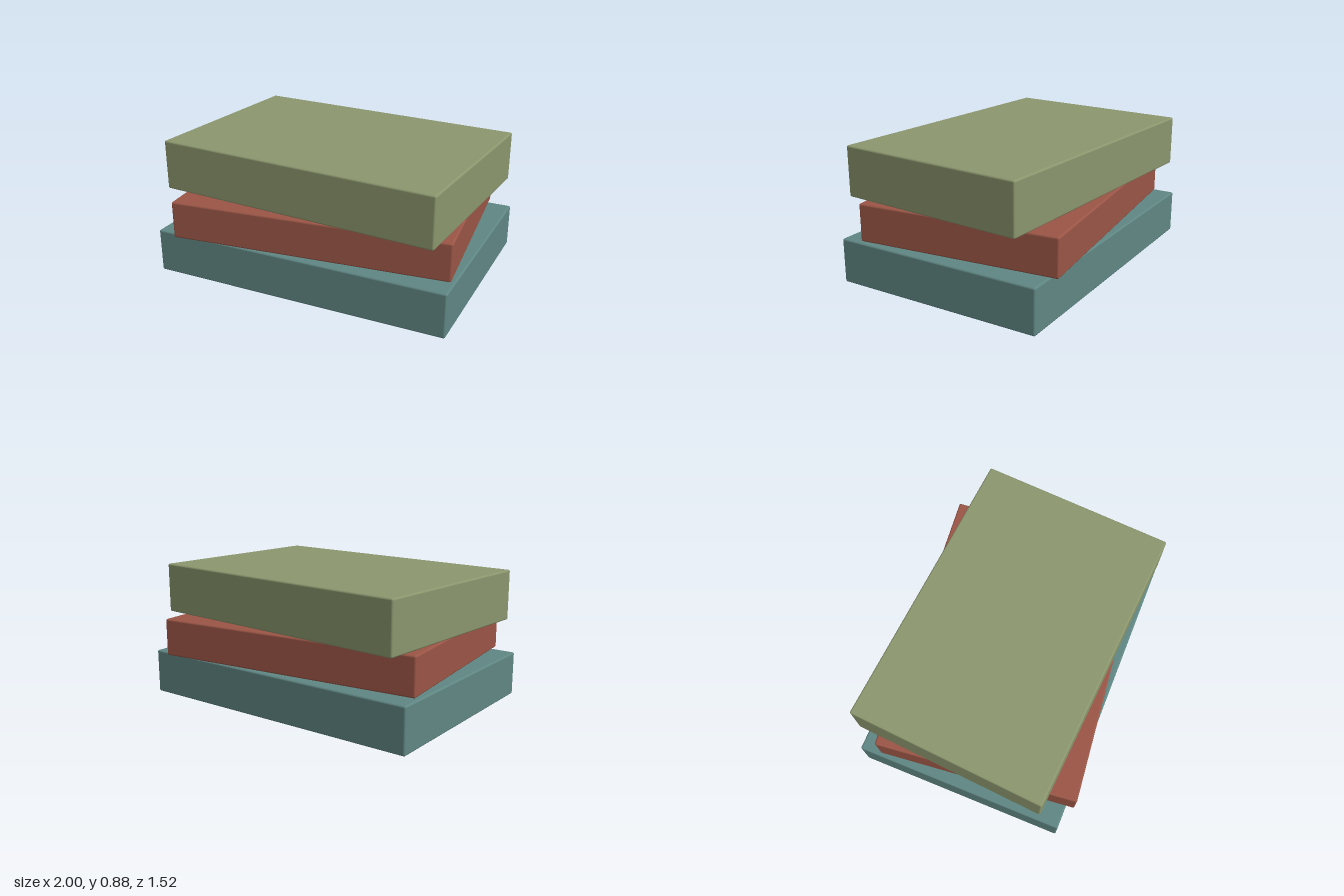
import * as THREE from 'three';
import { RoundedBoxGeometry } from 'three/addons/geometries/RoundedBoxGeometry.js';

const material = (name, color) => new THREE.MeshStandardMaterial({ name, color });

// Slabs from the bottom up: size, base height and turn about the vertical axis
const SLABS = [
  { name: 'bottomSlab', size: [2, 0.293, 1.41], base: 0, turn: 0, mat: material('teal', 0x5f8683) },
  { name: 'middleSlab', size: [1.825, 0.248, 1.335], base: 0.295, turn: 6, mat: material('brick red', 0x9a5546) },
  { name: 'topSlab', size: [1.91, 0.332, 1.285], base: 0.545, turn: -4, mat: material('olive green', 0x8b966d) },
];

export function createModel() {
  const group = new THREE.Group();
  group.name = 'slabStack';
  for (const { name, size, base, turn, mat } of SLABS) {
    // Box with slightly softened edges
    const mesh = new THREE.Mesh(new RoundedBoxGeometry(...size, 3, 0.012), mat);
    mesh.name = name;
    mesh.position.y = base + size[1] / 2;
    mesh.rotation.y = THREE.MathUtils.degToRad(turn);
    group.add(mesh);
  }
  return group;
}
